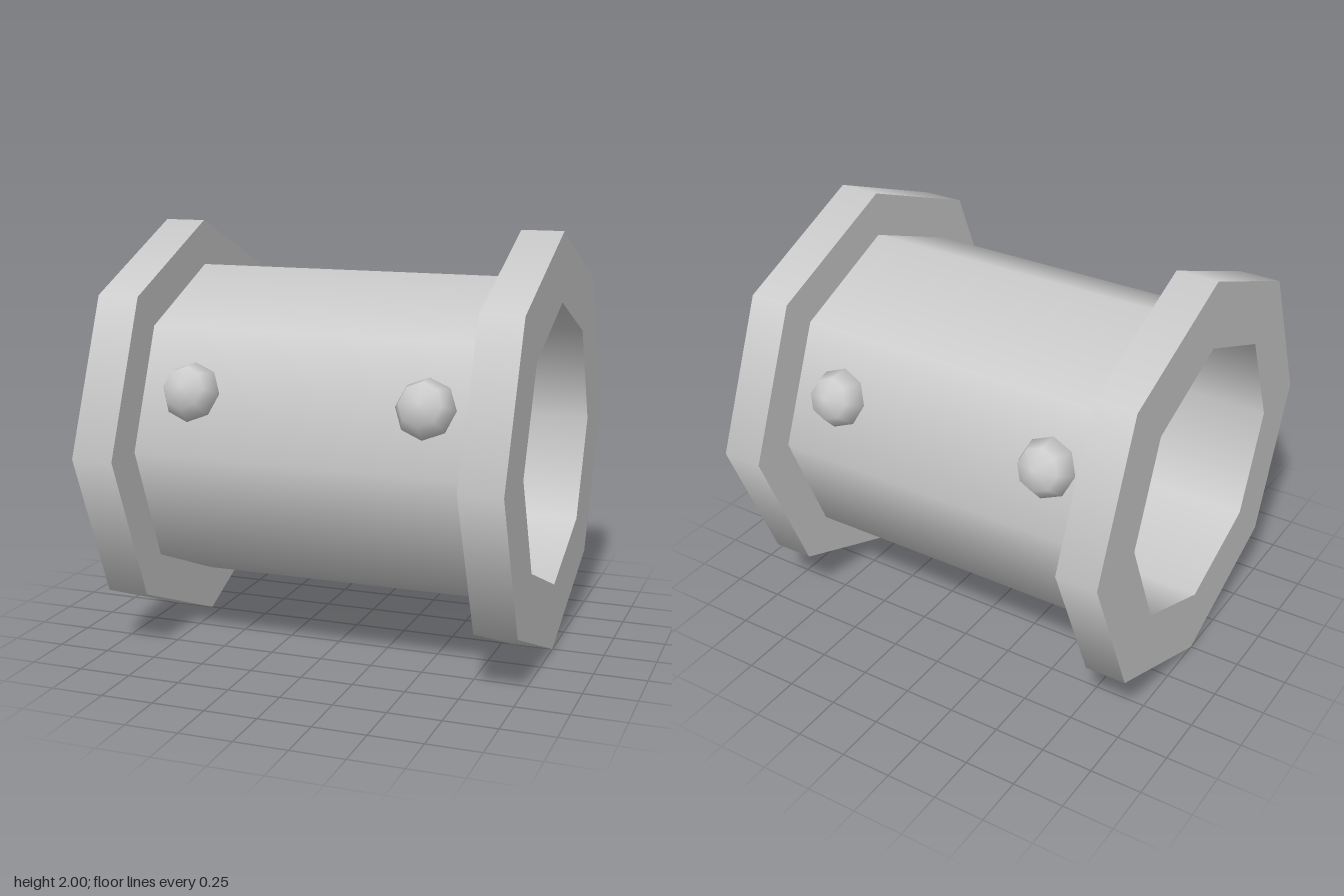
import * as THREE from 'three';
import { mergeGeometries } from 'three/addons/utils/BufferGeometryUtils.js';

const SIDES = 8;
const FLANGE_R = 1, TUBE_R = 0.784, BORE_R = 0.675;
const END = 1, SHOULDER = 0.8;

// Revolves each [radius, x] step of a profile on its own, so corners between steps stay sharp
function revolve(profile) {
  const bands = [];
  for (let i = 0; i < profile.length - 1; i++) {
    const pair = [profile[i], profile[i + 1]].map(([r, x]) => new THREE.Vector2(r, x));
    bands.push(new THREE.LatheGeometry(pair, SIDES));
  }
  return mergeGeometries(bands).rotateZ(-Math.PI / 2);
}

export function createModel() {
  const group = new THREE.Group();
  const material = new THREE.MeshStandardMaterial({ color: 0xcccccc });

  function add(name, geometry) {
    const mesh = new THREE.Mesh(geometry, material);
    mesh.name = name;
    mesh.position.y = FLANGE_R;
    group.add(mesh);
    return mesh;
  }

  // Eight-sided pipe: outer wall and bore
  add('pipeWall', revolve([[TUBE_R, -SHOULDER], [TUBE_R, SHOULDER]]));
  add('pipeBore', revolve([[BORE_R, END], [BORE_R, -END]]));

  // Flange at each end
  add('leftFlange', revolve([[TUBE_R, SHOULDER], [FLANGE_R, SHOULDER], [FLANGE_R, END], [BORE_R, END]]));
  add('rightFlange', revolve([[BORE_R, -END], [FLANGE_R, -END], [FLANGE_R, -SHOULDER], [TUBE_R, -SHOULDER]]));

  // Domed rivets on the upper front and back faces of the pipe
  const dome = new THREE.SphereGeometry(0.14, SIDES, 2, 0, Math.PI * 2, 0, Math.PI / 2).scale(1, 0.93, 1);
  const faceDistance = TUBE_R * Math.cos(Math.PI / SIDES);
  for (const front of [1, -1]) {
    for (const side of [1, -1]) {
      const tilt = front * Math.PI * 3 / 8;
      const rivet = add(`${front > 0 ? 'front' : 'back'}${side > 0 ? 'Left' : 'Right'}Rivet`, dome);
      rivet.rotation.x = tilt;
      rivet.position.set(side * 0.56, FLANGE_R + faceDistance * Math.cos(tilt), faceDistance * Math.sin(tilt));
    }
  }
  return group;
}
